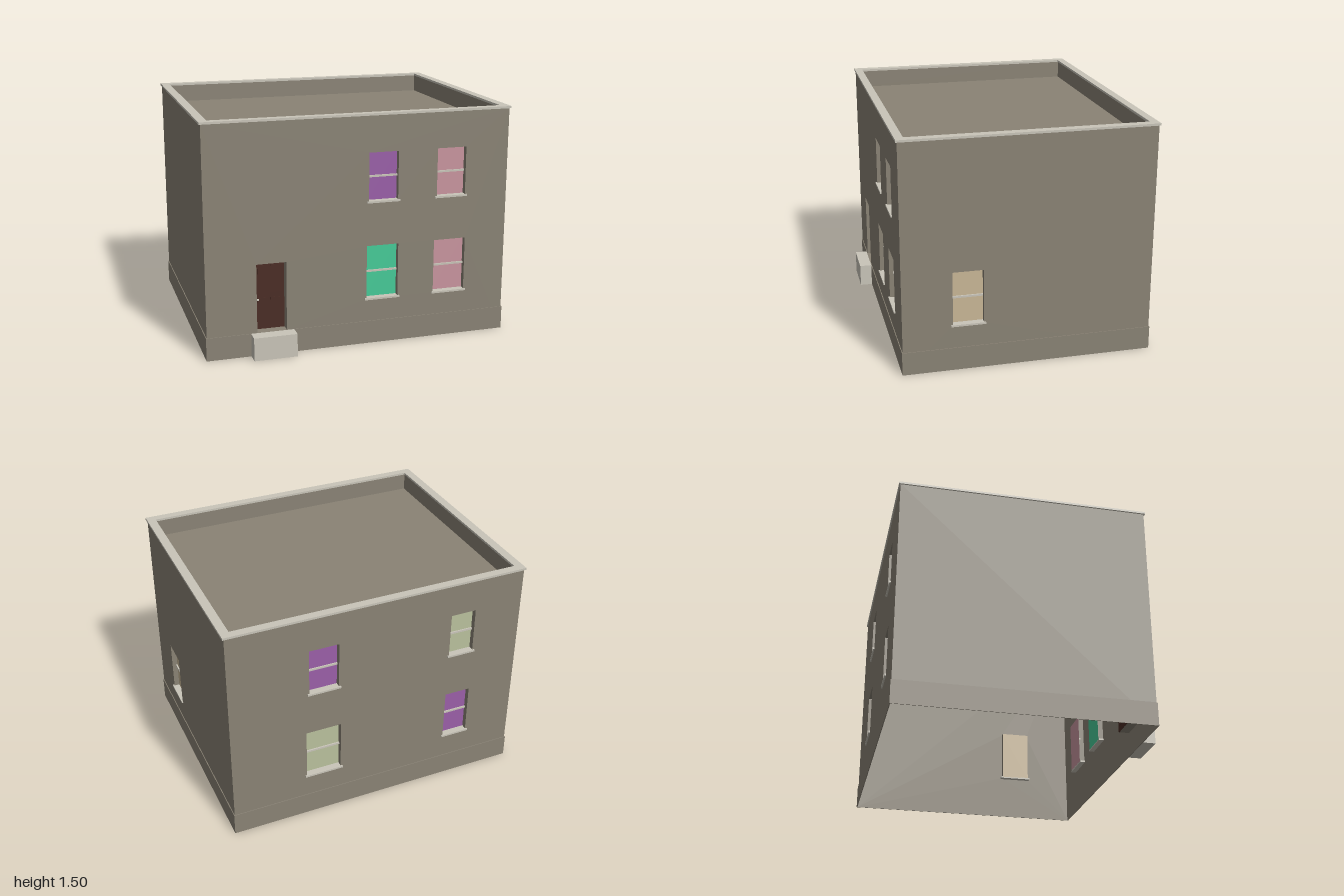
import * as THREE from 'three';

const mat = (name, color, side = THREE.DoubleSide) => {
  const m = new THREE.MeshStandardMaterial({ color, side });
  m.name = name;
  return m;
};

export function createModel() {
  const M = {
    wall: mat('stone wall', 0x8a8375),
    trim: mat('pale trim', 0xc9c5b9),
    door: mat('dark brown door', 0x4a2c24),
    purple: mat('purple pane', 0x9a5fa8),
    pink: mat('pink pane', 0xc9959f),
    green: mat('green pane', 0x46cb98),
    tan: mat('tan pane', 0xc9b797),
    sage: mat('sage pane', 0xbac19d),
  };
  const HX = 0.99, HZ = 0.7975, TOP = 1.49, BASE = 0.15;
  const model = new THREE.Group();
  model.name = 'house';
  const house = new THREE.Group();
  house.name = 'building';
  house.position.z = -0.0375;
  model.add(house);

  const add = (parent, name, geo, material, x = 0, y = 0, z = 0) => {
    const mesh = new THREE.Mesh(geo, material);
    mesh.name = name;
    mesh.position.set(x, y, z);
    parent.add(mesh);
    return mesh;
  };
  const box = (w, h, d) => new THREE.BoxGeometry(w, h, d);

  // Rectangular sleeve, open at both z ends
  const sleeve = (w, h, d) => {
    const g = box(w, h, d);
    g.setIndex(Array.from(g.index.array).slice(0, 24));
    g.clearGroups();
    return g;
  };
  const rect = (Type, x0, y0, x1, y1) => {
    const p = new Type();
    p.moveTo(x0, y0).lineTo(x1, y0).lineTo(x1, y1).lineTo(x0, y1).closePath();
    return p;
  };
  // Flat rectangular ring lying level, with a thickness
  const ring = (ox, oz, ix, iz, thick) => {
    const s = rect(THREE.Shape, -ox, -oz, ox, oz);
    s.holes.push(rect(THREE.Path, -ix, -iz, ix, iz));
    return new THREE.ExtrudeGeometry(s, { depth: thick, bevelEnabled: false }).rotateX(-Math.PI / 2);
  };

  // Recessed pane with reveal, meeting rail and sill; wall surface is z = 0
  const addWindow = (wall, { x, w, y0, y1, color }) => {
    const g = new THREE.Group(), h = y1 - y0, d = 0.035;
    g.name = 'window';
    g.position.set(x, y0, 0);
    add(g, 'reveal', sleeve(w, h, d), M.wall, 0, h / 2, -d / 2);
    add(g, 'pane', new THREE.PlaneGeometry(w, h), M[color], 0, h / 2, -d);
    add(g, 'meetingRail', box(w, 0.012, 0.01), M.trim, 0, h / 2, -d + 0.006);
    add(g, 'sill', box(w + 0.024, 0.012, 0.045), M.trim, 0, -0.002, -0.0125);
    wall.add(g);
  };

  // Panelled door with a knob, set deeper than the windows
  const addDoor = (wall, { x, w, y0, y1 }) => {
    const g = new THREE.Group(), h = y1 - y0, d = 0.065;
    g.name = 'frontDoor';
    g.position.set(x, y0, 0);
    add(g, 'reveal', sleeve(w, h, d), M.wall, 0, h / 2, -d / 2);
    add(g, 'doorLeaf', box(w, h, 0.008), M.door, 0, h / 2, -d);
    for (const sx of [-1, 1])
      for (const [py, ph] of [[0.27, 0.38], [0.74, 0.4]])
        add(g, 'doorPanel', box(w * 0.36, h * ph, 0.014), M.door, sx * w * 0.22, h * py, -d);
    add(g, 'handle', box(0.016, 0.007, 0.034), M.trim, -w / 2 + 0.017, 0.197, -d);
    wall.add(g);
  };

  const walls = [
    { name: 'frontWall', half: HX, out: HZ, turn: 0, openings: [
      { x: -0.575, w: 0.19, y0: BASE, y1: 0.597, door: true },
      { x: 0.15, w: 0.21, y0: 0.302, y1: 0.653, color: 'green' },
      { x: 0.606, w: 0.214, y0: 0.302, y1: 0.653, color: 'pink' },
      { x: 0.152, w: 0.193, y0: 0.941, y1: 1.254, color: 'purple' },
      { x: 0.606, w: 0.193, y0: 0.941, y1: 1.254, color: 'pink' }] },
    { name: 'leftWall', half: HZ, out: HX, turn: Math.PI / 2, openings: [
      { x: -0.385, w: 0.195, y0: 0.302, y1: 0.651, color: 'tan' }] },
    { name: 'backWall', half: HX, out: HZ, turn: Math.PI, openings: [
      { x: -0.375, w: 0.235, y0: 0.308, y1: 0.652, color: 'sage' },
      { x: 0.577, w: 0.173, y0: 0.322, y1: 0.66, color: 'purple' },
      { x: -0.372, w: 0.197, y0: 0.949, y1: 1.263, color: 'purple' },
      { x: 0.577, w: 0.17, y0: 0.967, y1: 1.268, color: 'sage' }] },
    { name: 'rightWall', half: HZ, out: HX, turn: -Math.PI / 2, openings: [] },
  ];
  for (const { name, half, out, turn, openings } of walls) {
    const side = new THREE.Group();
    side.name = name;
    side.rotation.y = turn;
    side.position.set(Math.sin(turn) * out, 0, Math.cos(turn) * out);
    const shape = rect(THREE.Shape, -half, 0, half, TOP);
    for (const o of openings)
      shape.holes.push(rect(THREE.Path, o.x - o.w / 2, o.y0, o.x + o.w / 2, o.y1));
    add(side, 'wallFace', new THREE.ShapeGeometry(shape), M.wall);
    for (const o of openings) (o.door ? addDoor : addWindow)(side, o);
    house.add(side);
  }

  // Plinth course around the foot of the walls
  add(house, 'plinth', ring(HX + 0.005, HZ + 0.005, HX, HZ, BASE), M.wall);

  // Sunken flat roof, parapet lining and coping
  const roofY = 1.37, px = 0.948, pz = 0.759;
  add(house, 'roof', new THREE.PlaneGeometry(px * 2, pz * 2).rotateX(-Math.PI / 2), M.wall, 0, roofY, 0);
  add(house, 'parapetLining', sleeve(px * 2, pz * 2, TOP - roofY).rotateX(-Math.PI / 2), M.wall, 0, (TOP + roofY) / 2, 0);
  add(house, 'coping', ring(1, 0.806, 0.943, 0.753, 0.014), M.trim, 0, 1.486, 0);

  // Door step
  add(model, 'doorStep', box(0.277, BASE, 0.084), M.trim, -0.572, BASE / 2, 0.804);
  return model;
}
